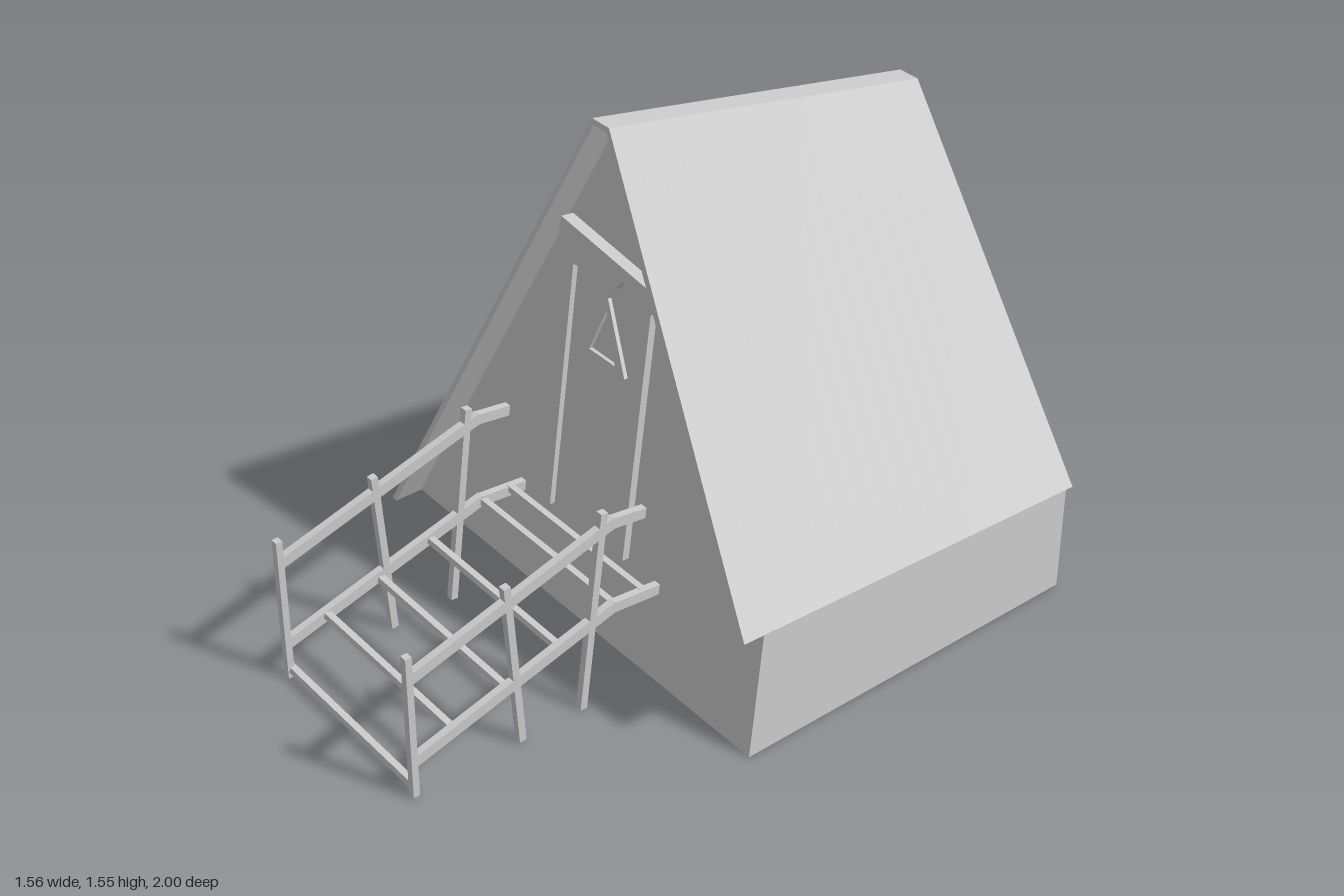
import * as THREE from 'three';
import { toCreasedNormals } from 'three/addons/utils/BufferGeometryUtils.js';

const material = new THREE.MeshStandardMaterial({ color: 0xcccccc });

function addMesh(parent, name, geometry) {
  const mesh = new THREE.Mesh(geometry, material);
  mesh.name = name;
  parent.add(mesh);
  return mesh;
}

// Solid between two outlines, both counterclockwise seen from the front.
// zFront and zBack give the depth of a corner from its height.
// The sides run in many strips, so that twisted slopes stay even.
function loft(front, back, zFront, zBack, strips = 16) {
  const f = front.map(([x, y]) => new THREE.Vector3(x, y, zFront(y)));
  const b = back.map(([x, y]) => new THREE.Vector3(x, y, zBack(y)));
  const points = [];
  for (let s = 0; s < strips; s++) {
    const near = f.map((p, i) => p.clone().lerp(b[i], s / strips));
    const far = f.map((p, i) => p.clone().lerp(b[i], (s + 1) / strips));
    near.forEach((p, i) => {
      const j = (i + 1) % near.length;
      points.push(p, far[i], far[j], p, far[j], near[j]);
    });
  }
  const cap = (ring) => THREE.ShapeUtils.triangulateShape(ring.map((p) => new THREE.Vector2(p.x, p.y)), []);
  cap(f).forEach(([i, j, k]) => points.push(f[i], f[j], f[k]));
  cap(b).forEach(([i, j, k]) => points.push(b[k], b[j], b[i]));
  return toCreasedNormals(new THREE.BufferGeometry().setFromPoints(points), 0.3);
}

// Straight bar in the side plane, from [z, y] to [z, y]
function addBar(parent, name, x, [z0, y0], [z1, y1], thickness) {
  const length = Math.hypot(z1 - z0, y1 - y0);
  const bar = addMesh(parent, name, new THREE.BoxGeometry(0.022, length, thickness));
  bar.position.set(x, (y0 + y1) / 2, (z0 + z1) / 2);
  bar.rotation.x = Math.atan2(z1 - z0, y1 - y0);
}

function polygon(points) {
  return new THREE.Shape(points.map(([x, y]) => new THREE.Vector2(x, y)));
}

const extrude = (shape, depth) => new THREE.ExtrudeGeometry(shape, { depth, bevelEnabled: false });

function buildHouse(group) {
  const zRoofFront = (y) => 0.3 - 0.129 * y;
  const zWallFront = (y) => 0.208 - 0.125 * y;
  const zBack = (y) => -0.97 - 0.0224 * y;

  // Lopsided roof: the left slope reaches the ground, the right one stops at an eave
  const roofFront = [[-0.762, 0], [-0.022, 1.536], [0.03, 1.536], [0.758, 0.4],
    [0.78, 0.415], [0.04, 1.552], [-0.03, 1.552], [-0.782, 0.002]];
  const roofBack = [[-0.762, 0], [-0.022, 1.326], [0.03, 1.326], [0.758, 0.34],
    [0.78, 0.355], [0.04, 1.34], [-0.03, 1.34], [-0.782, 0.002]];
  addMesh(group, 'roof', loft(roofFront, roofBack, zRoofFront, zBack));

  const wallsFront = [[0.77, 0], [0.758, 0.397], [0.03, 1.524], [-0.022, 1.524], [-0.764, 0]];
  const wallsBack = [[0.77, 0], [0.758, 0.34], [0.03, 1.326], [-0.022, 1.326], [-0.764, 0]];
  addMesh(group, 'walls', loft(wallsFront, wallsBack, zWallFront, zBack));
}

function buildDoor(group) {
  // Everything here leans back with the front wall
  const door = new THREE.Group();
  door.name = 'door';
  door.position.z = 0.208;
  door.rotation.x = -Math.atan(0.125);
  group.add(door);

  addMesh(door, 'doorPanel', new THREE.BoxGeometry(0.3, 0.82, 0.012)).position.set(0.03, 0.72, 0.002);
  for (const x of [-0.138, 0.192]) {
    addMesh(door, 'doorPost', new THREE.BoxGeometry(0.03, 0.82, 0.04)).position.set(x, 0.72, 0.002);
  }

  // Triangular window frame
  const frame = polygon([[-0.07, 0.845], [0.13, 0.845], [0.03, 1.042]]);
  frame.holes.push(polygon([[-0.026, 0.863], [0.03, 1.008], [0.086, 0.863]]));
  addMesh(door, 'windowFrame', extrude(frame, 0.02));

  // Tilted board above the door with three scallops
  const outline = [[-0.17, 1.203]];
  for (const [x, y] of [[-0.175, 1.145], [-0.034, 1.148], [0.105, 1.133]]) {
    outline.push([x, y], [x + 0.02, y - 0.038], [x + 0.055, y - 0.056], [x + 0.108, y - 0.052]);
  }
  outline.push([0.237, 1.1], [0.25, 1.15]);
  addMesh(door, 'doorCanopy', extrude(polygon(outline), 0.04));
}

function buildSteps(group) {
  const steps = new THREE.Group();
  steps.name = 'steps';
  group.add(steps);

  // Matching railings on both sides
  for (const x of [-0.276, 0.333]) {
    addBar(steps, 'frontPost', x, [0.986, 0], [0.986, 0.47], 0.02);
    addBar(steps, 'middlePost', x, [0.64, 0], [0.676, 0.54], 0.022);
    addBar(steps, 'rearPost', x, [0.435, 0], [0.358, 0.63], 0.022);
    addBar(steps, 'upperRail', x, [0.985, 0.395], [0.32, 0.585], 0.034);
    addBar(steps, 'upperRailEnd', x, [0.33, 0.583], [0.22, 0.568], 0.032);
    addBar(steps, 'lowerRail', x, [0.985, 0.117], [0.32, 0.302], 0.034);
    addBar(steps, 'lowerRailEnd', x, [0.33, 0.3], [0.165, 0.285], 0.032);
  }

  // Narrow, slightly tipped treads, [z, y]
  const treads = [[0.98, 0.026], [0.857, 0.157], [0.677, 0.194], [0.505, 0.248], [0.32, 0.298], [0.222, 0.298]];
  for (const [z, y] of treads) {
    const tread = addMesh(steps, 'tread', new THREE.BoxGeometry(0.61, 0.018, 0.022));
    tread.position.set(0.028, y, z);
    tread.rotation.x = -0.15;
  }
}

export function createModel() {
  const group = new THREE.Group();
  group.name = 'cabin';
  buildHouse(group);
  buildDoor(group);
  buildSteps(group);
  return group;
}
